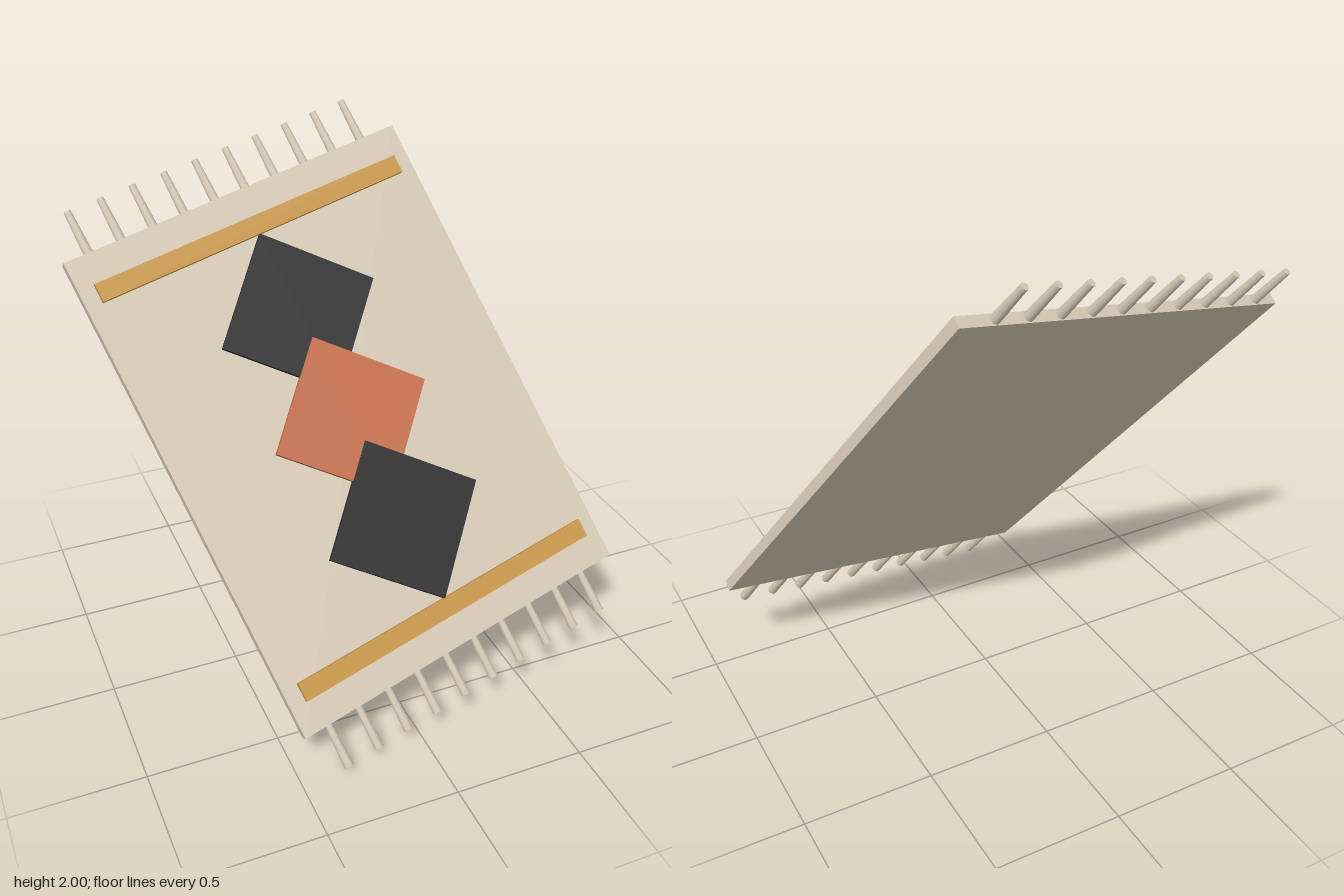
import * as THREE from 'three';

const material = (name, color) => {
  const m = new THREE.MeshStandardMaterial({ color });
  m.name = name;
  return m;
};

export function createModel() {
  const cream = material('cream wool', 0xd5c9b5);
  const black = material('charcoal', 0x2d2d2d);
  const rust = material('terracotta', 0xc46f4b);
  const gold = material('ochre', 0xc8974a);

  const W = 1.424, L = 1.91, T = 0.043, RAISE = 0.02;

  // The rug is built upright in the XY plane, facing +z
  const rug = new THREE.Group();
  rug.name = 'rug';
  const add = (name, geometry, mat, x, y, z) => {
    const mesh = new THREE.Mesh(geometry, mat);
    mesh.name = name;
    mesh.position.set(x, y, z);
    rug.add(mesh);
    return mesh;
  };

  add('rugBody', new THREE.BoxGeometry(W, L, T), cream, 0, 0, 0);

  // Border stripes near both ends
  for (const s of [1, -1]) {
    add(s > 0 ? 'topStripe' : 'bottomStripe', new THREE.BoxGeometry(1.3, 0.072, T / 2 + RAISE),
      gold, 0, s * 0.803, (T / 2 + RAISE) / 2);
  }

  // Three overlapping diamonds, each a hair above the one before
  [['topDiamond', black], ['middleDiamond', rust], ['bottomDiamond', black]].forEach(([name, mat], i) => {
    const depth = T / 2 + RAISE - 0.002 + i * 0.001;
    add(name, new THREE.BoxGeometry(0.471, 0.471, depth), mat, 0, (1 - i) * 0.436, depth / 2)
      .rotation.z = Math.PI / 4;
  });

  // Fringe tassels along both short ends
  const tassel = new THREE.CylinderGeometry(0.014, 0.019, 0.18, 8);
  for (const s of [1, -1]) {
    for (let i = 0; i < 10; i++) {
      add(s > 0 ? 'topTassel' : 'bottomTassel', tassel, cream, -0.61 + i * 0.131, s * 1.037, 0);
    }
  }

  // Turn in its own plane, then lean back
  rug.rotation.z = THREE.MathUtils.degToRad(14.3);
  const lean = new THREE.Group();
  lean.name = 'leaningRug';
  lean.add(rug);
  lean.rotation.x = THREE.MathUtils.degToRad(-36.9);
  lean.position.y = 1.003;

  const model = new THREE.Group();
  model.name = 'fringedRug';
  model.add(lean);
  return model;
}
